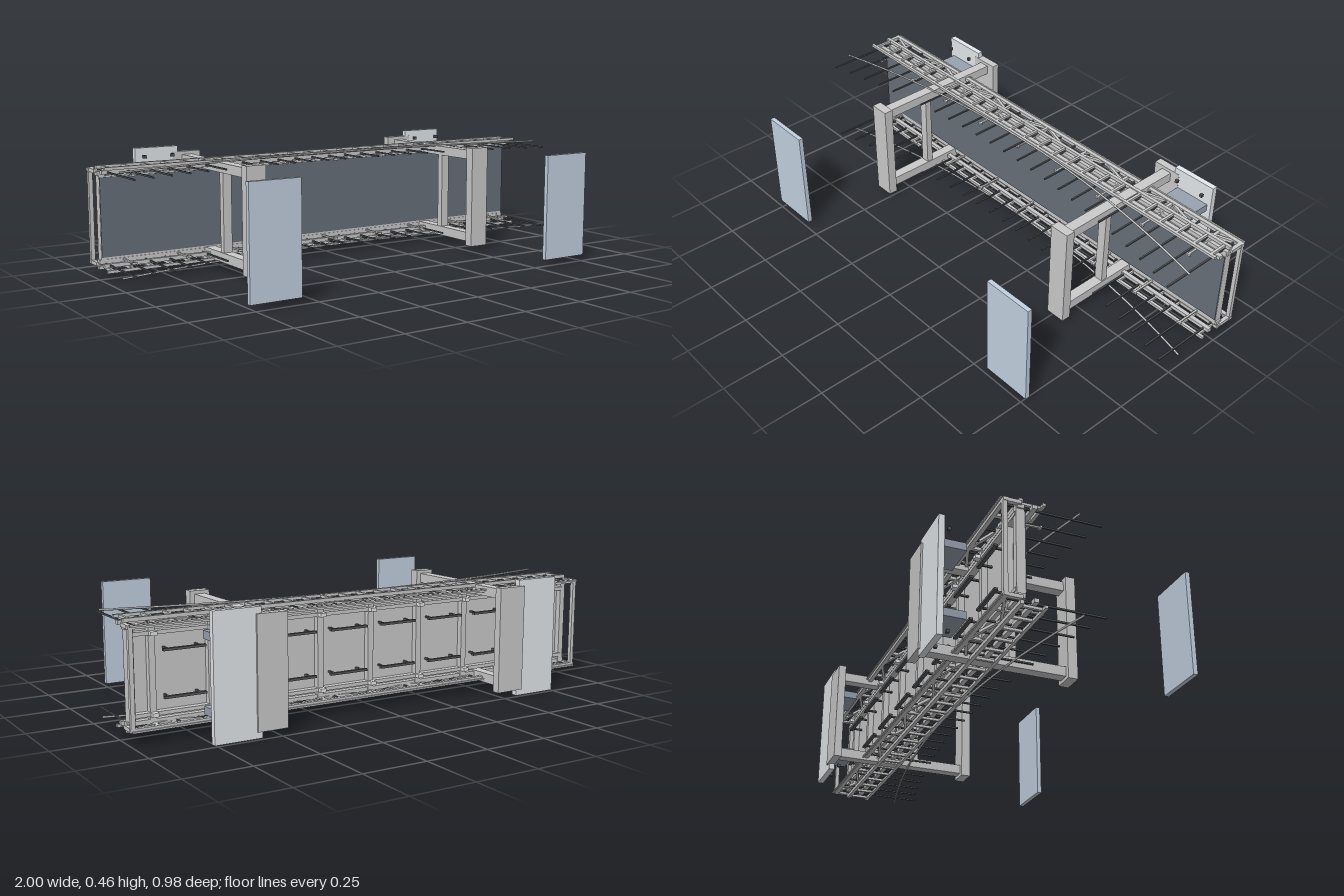
import * as THREE from 'three';

const MID = 0.234; // height of the horizontal mirror plane
const BAY = 0.2235; // spacing of wall studs
const mat = (color) => new THREE.MeshStandardMaterial({ color });
const grey = mat(0xcccccc);
const glass = mat(0xc4d2e2);
const screen = mat(0x68707a);
const slate = mat(0x98a2b0);
const pale = mat(0xe6eaee);
const dark = mat(0x55585c);

// Box given by its limits on each axis
function box(parent, name, x, y, z, material = grey) {
  const mesh = new THREE.Mesh(new THREE.BoxGeometry(x[1] - x[0], y[1] - y[0], z[1] - z[0]), material);
  mesh.position.set((x[0] + x[1]) / 2, (y[0] + y[1]) / 2, (z[0] + z[1]) / 2);
  mesh.name = name;
  parent.add(mesh);
  return mesh;
}

// Square bar between two points in a horizontal plane
function bar(parent, name, x0, z0, x1, z1, y, size, material = grey) {
  const length = Math.hypot(x1 - x0, z1 - z0);
  const mesh = new THREE.Mesh(new THREE.BoxGeometry(length, size, size), material);
  mesh.position.set((x0 + x1) / 2, y, (z0 + z1) / 2);
  mesh.rotation.y = -Math.atan2(z1 - z0, x1 - x0);
  mesh.name = name;
  parent.add(mesh);
}

const around = (c, w) => [c - w / 2, c + w / 2];
const flip = ([a, b]) => [2 * MID - b, 2 * MID - a];

// Support portal with its posts, arms, and panels
function portal(side) {
  const g = new THREE.Group();
  g.name = side > 0 ? 'leftPortal' : 'rightPortal';
  const span = (a, b) => (side > 0 ? [a, b] : [-b, -a]);
  const full = [0.027, 0.441];
  box(g, 'frontPost', span(0.49, 0.571), full, [0.08, 0.118]);
  box(g, 'middlePost', span(0.512, 0.548), [0.075, 0.393], [-0.14, -0.113]);
  box(g, 'backColumn', span(0.472, 0.592), full, [-0.492, -0.461]);
  box(g, 'backPanel', span(0.57, 0.755), [0.003, 0.465], [-0.485, -0.462], pale);
  box(g, 'frontPanel', span(0.563, 0.767), [0.025, 0.442], [0.474, 0.492], glass);
  for (const f of [(r) => r, flip]) {
    box(g, 'arm', span(0.509, 0.552), f([0.39, 0.428]), [-0.462, 0.08]);
    box(g, 'shelf', span(0.592, 0.738), f([0.352, 0.382]), [-0.462, -0.374], slate);
    for (const x of [0.605, 0.725]) {
      box(g, 'bolt', span(x - 0.006, x + 0.006), f([0.426, 0.438]), [-0.442, -0.43], dark);
    }
  }
  return g;
}

// Horizontal truss with cantilevered rods and a curved edge rail
function truss(top) {
  const g = new THREE.Group();
  g.name = top ? 'upperTruss' : 'lowerTruss';
  const at = (y) => (top ? y : 2 * MID - y);
  const chord = (name, z, y, d, h) => box(g, name, [-0.99, 0.99], around(at(y), h), around(z, d));
  chord('frontChord', -0.198, 0.427, 0.012, 0.011);
  chord('middleChord', -0.232, 0.41, 0.018, 0.015);
  chord('innerChord', -0.283, 0.425, 0.014, 0.014);
  chord('innerLowerChord', -0.283, 0.402, 0.026, 0.016);
  box(g, 'backChord', [-1, 1], around(at(0.411), 0.014), around(-0.342, 0.016));
  box(g, 'backEdgeRail', [-0.995, 0.995], around(at(0.415), 0.006), around(-0.356, 0.006));

  // Zigzag lacing
  const node = (i) => (i % 2 === 0 ? -0.342 : -0.285);
  for (let i = -6; i < 6; i++) {
    bar(g, 'lacing', i * 0.165, node(i), (i + 1) * 0.165, node(i + 1), at(0.411), 0.011);
  }

  // Cross ties and thin rods that lengthen toward the ends
  const arc = (x) => -0.19 + 0.13 * x * x;
  for (let i = -12; i <= 12; i++) {
    const x = i * 0.0805;
    box(g, 'crossTie', around(x, 0.01), around(at(0.426), 0.01), [-0.287, -0.192]);
    box(g, 'rod', around(x, 0.006), around(at(0.41), 0.006), [-0.345, arc(x) + 0.095], dark);
  }

  // Stud bolts under the truss
  for (let i = -4; i <= 4; i++) {
    box(g, 'studBolt', around(i * BAY, 0.008), around(at(0.4), 0.006), [-0.27, -0.165]);
    box(g, 'studHead', around(i * BAY, 0.02), around(at(0.4), 0.009), [-0.173, -0.166]);
    box(g, 'backTie', around(i * BAY, 0.012), around(at(0.411), 0.012), [-0.342, -0.283]);
  }

  // Curved edge rail
  const points = [];
  for (let i = -8; i <= 8; i++) points.push(new THREE.Vector3(i * 0.1237, at(0.428), arc(i * 0.1237)));
  const curve = new THREE.CatmullRomCurve3(points);
  const rail = new THREE.Mesh(new THREE.TubeGeometry(curve, 40, 0.004, 6), grey);
  rail.name = 'curvedRail';
  g.add(rail);
  return g;
}

// Long screen wall with studs and rails behind it
function wall() {
  const g = new THREE.Group();
  g.name = 'screenWall';
  box(g, 'screen', [-0.983, 0.983], [0.083, 0.387], [-0.268, -0.264], screen);
  box(g, 'backing', [-0.983, 0.983], [0.075, 0.393], [-0.276, -0.268]);
  for (let i = -4; i <= 4; i++) {
    box(g, 'stud', around(i * BAY, 0.024), [0.057, 0.411], [-0.299, -0.276]);
  }
  for (const s of [-1, 1]) {
    box(g, 'endStud', around(s * 0.972, 0.024), [0.057, 0.411], [-0.299, -0.268]);
    box(g, 'endLoopPost', around(s * 0.99, 0.016), [0.05, 0.418], [-0.35, -0.334]);
    for (const y of [0.057, 0.411]) {
      box(g, 'endLoopTie', around(s * 0.99, 0.016), around(y, 0.014), [-0.342, -0.283]);
    }
  }
  for (const y of [0.376, 0.092]) {
    box(g, 'backRail', [-0.98, 0.98], around(y, 0.014), [-0.302, -0.276]);
    for (let i = -4; i <= 4; i++) {
      box(g, 'railClip', around(i * BAY, 0.024), around(y, 0.014), [-0.322, -0.299], pale);
    }
  }
  // Short dark rails, one pair per bay
  for (let i = -4; i < 4; i++) {
    for (const y of [0.317, 0.15]) {
      box(g, 'bayRail', around((i + 0.5) * BAY, 0.16), around(y, 0.009), [-0.326, -0.312], dark);
      for (const s of [-0.06, 0.06]) {
        box(g, 'bayRailStandoff', around((i + 0.5) * BAY + s, 0.008), around(y, 0.007), [-0.313, -0.276], dark);
      }
    }
  }
  return g;
}

export function createModel() {
  const model = new THREE.Group();
  model.name = 'screenStructure';
  model.add(wall(), truss(true), truss(false), portal(1), portal(-1));
  return model;
}
